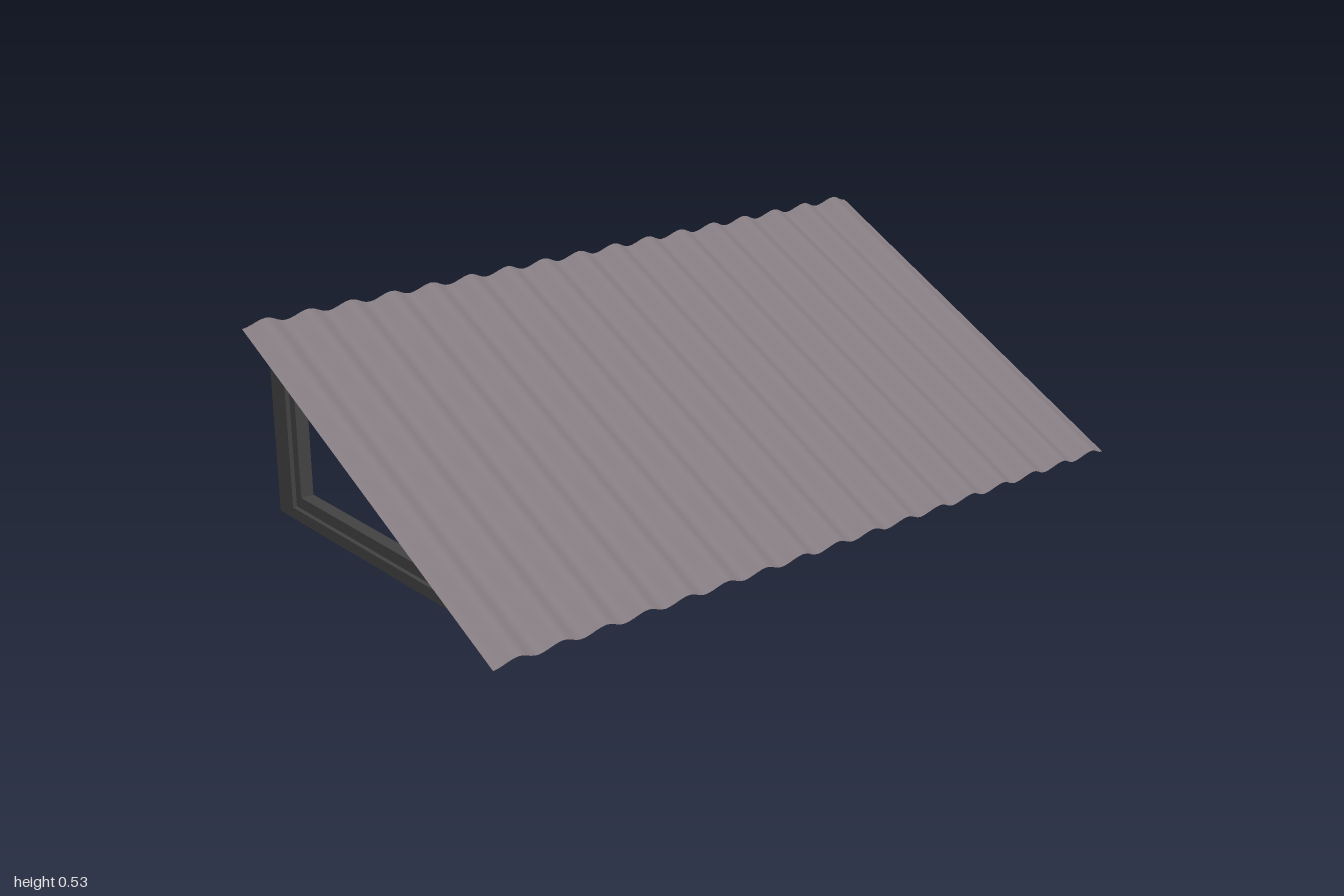
import * as THREE from 'three';

const mat = (name, color, side = THREE.FrontSide) => {
  const m = new THREE.MeshStandardMaterial({ color, side });
  m.name = name;
  return m;
};

// Height of a line parallel to the roof pitch
const pitch = (c, x) => c - 0.5 * x;

// Extrude an outline (with optional hole) along z, centred on z = 0
function prism(points, depth, hole) {
  const v = (list) => list.map(([x, y]) => new THREE.Vector2(x, y));
  const shape = new THREE.Shape(v(points));
  if (hole) shape.holes.push(new THREE.Path(v(hole)));
  return new THREE.ExtrudeGeometry(shape, { depth, bevelEnabled: false })
    .translate(0, 0, -depth / 2);
}

// Sloping strip between two pitch lines, with plumb-cut ends
const strip = (x0, x1, low, high) => [
  [x0, pitch(low, x0)], [x1, pitch(low, x1)], [x1, pitch(high, x1)], [x0, pitch(high, x0)],
];

// Corrugated sheet: a plane lying on the pitch, waved along z
function corrugatedSheet() {
  const waves = 17, length = 1.139, amplitude = 0.0105;
  const geo = new THREE.PlaneGeometry(length, 2, 1, waves * 10).rotateX(-Math.PI / 2);
  const pos = geo.attributes.position;
  for (let i = 0; i < pos.count; i++) {
    const phase = (pos.getZ(i) + 1) * Math.PI * waves;
    pos.setY(i, -amplitude * Math.cos(phase));
  }
  geo.rotateZ(-Math.atan(0.5));
  geo.translate(0.0085, pitch(0.2705, 0.0085), 0);
  geo.computeVertexNormals();
  return geo;
}

export function createModel() {
  const group = new THREE.Group();
  const sheetMat = mat('corrugated grey', 0x847b80, THREE.DoubleSide);
  const frameMat = mat('charcoal', 0x424242);
  const liningMat = mat('brown lining', 0x6a5751);

  const add = (parent, name, geo, material) => {
    const mesh = new THREE.Mesh(geo, material);
    mesh.name = name;
    parent.add(mesh);
    return mesh;
  };

  // Roof layers
  add(group, 'corrugatedSheet', corrugatedSheet(), sheetMat);
  add(group, 'roofBoard', prism(strip(-0.49, 0.48, 0.24, 0.255), 1.91), frameMat);
  add(group, 'boardLining', prism(strip(-0.488, 0.478, 0.238, 0.242), 1.73), liningMat);

  // Triangular brackets: a deep outer frame with a recessed inner frame
  const outer = [[-0.525, 0.016], [0.448, 0.016], [-0.49, 0.485], [-0.525, 0.485]];
  const step = [[-0.46, 0.045], [0.33, 0.045], [-0.46, 0.44]];
  const opening = [[-0.435, 0.075], [0.215, 0.075], [-0.435, 0.4]];
  const outerGeo = prism(outer, 0.056, step);
  const innerGeo = prism(step, 0.034, opening);
  for (const side of [1, -1]) {
    const bracket = new THREE.Group();
    bracket.name = side > 0 ? 'frontBracket' : 'backBracket';
    bracket.position.z = side * 0.895;
    add(bracket, 'outerFrame', outerGeo, frameMat);
    add(bracket, 'innerFrame', innerGeo, frameMat);
    group.add(bracket);
  }
  return group;
}
